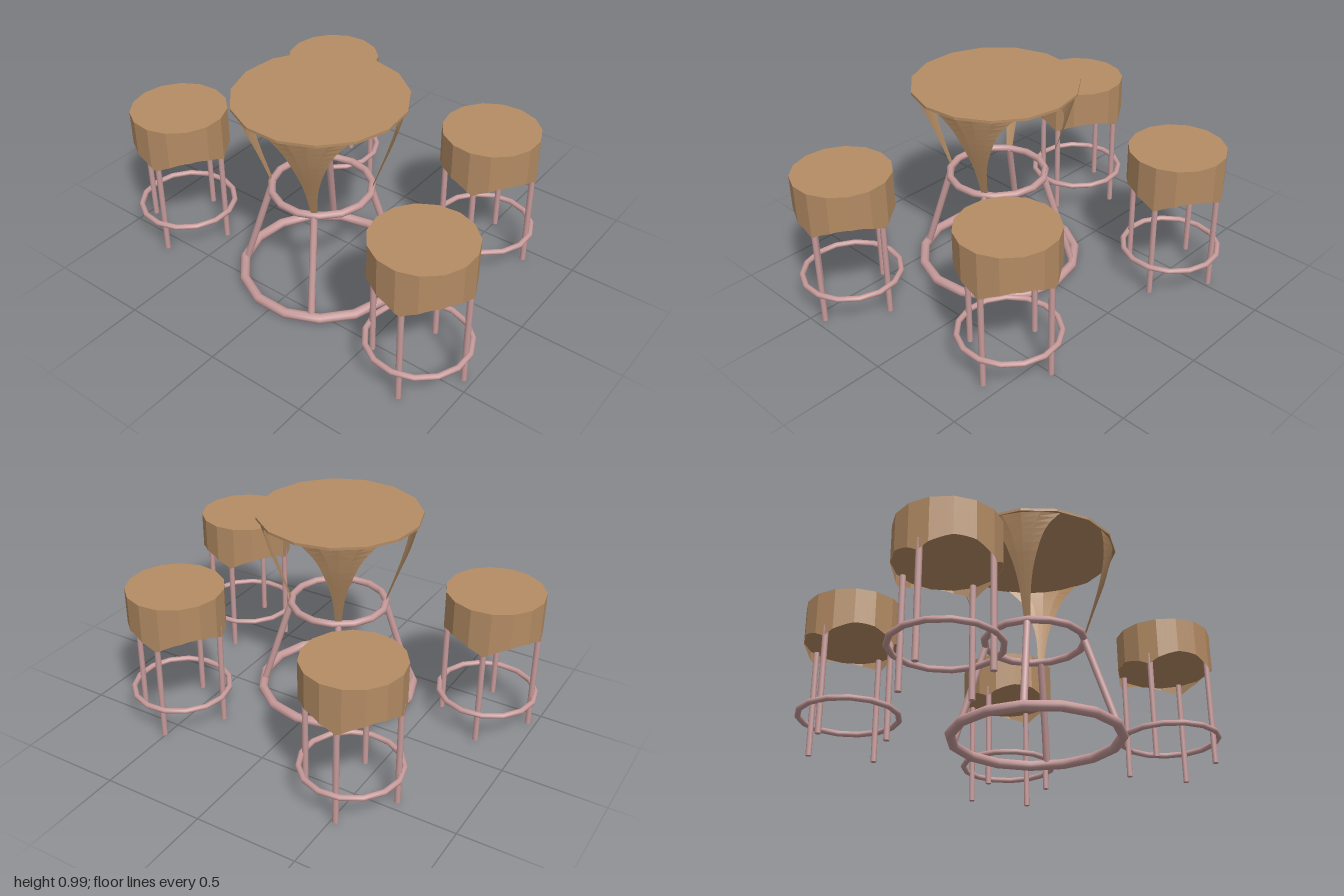
import * as THREE from 'three';

const SIDES = 15;
const wood = new THREE.MeshStandardMaterial({ color: 0xb48c64, side: THREE.DoubleSide, flatShading: true });
wood.name = 'tan wood';
const metal = new THREE.MeshStandardMaterial({ color: 0xc69a9a });
metal.name = 'rose metal';

function add(parent, name, geometry, material) {
  const mesh = new THREE.Mesh(geometry, material);
  mesh.name = name;
  parent.add(mesh);
  return mesh;
}

// Horizontal ring with a corner on +x
function ring(parent, name, radius, tube, y) {
  const g = new THREE.TorusGeometry(radius, tube, 10, SIDES).rotateX(Math.PI / 2);
  add(parent, name, g, metal).position.y = y;
}

// Straight rod between two points
function rod(parent, name, a, b, radius) {
  const dir = b.clone().sub(a);
  const mesh = add(parent, name, new THREE.CylinderGeometry(radius, radius, dir.length(), 10), metal);
  mesh.position.copy(a).add(b).multiplyScalar(0.5);
  mesh.quaternion.setFromUnitVectors(new THREE.Vector3(0, 1, 0), dir.normalize());
}

const polar = (az, r, y) => new THREE.Vector3(Math.sin(az) * r, y, Math.cos(az) * r);

// Seat wall: a 15-sided drum whose lower edge rises in an arch between each pair of legs
function skirtGeometry(radius, top, low, rise) {
  const g = new THREE.CylinderGeometry(1, 1, 1, SIDES * 4, 1, true);
  const p = g.attributes.position, step = (Math.PI * 2) / SIDES;
  for (let i = 0; i < p.count; i++) {
    const a = Math.atan2(p.getZ(i), p.getX(i));
    const inSide = (((a + 1e-6) % step) + step) % step - step / 2;
    const r = radius * Math.cos(step / 2) / Math.cos(inSide);
    const y = p.getY(i) > 0 ? top : low + rise * Math.pow(Math.abs(Math.sin(2 * a)), 0.9);
    p.setXYZ(i, Math.cos(a) * r, y, Math.sin(a) * r);
  }
  g.computeVertexNormals();
  return g;
}

function createStool(x, z) {
  const stool = new THREE.Group();
  stool.name = 'stool';
  const R = 0.235, top = 0.71;
  add(stool, 'seatSkirt', skirtGeometry(R, top, 0.478, 0.057), wood);
  add(stool, 'seatTop', new THREE.CircleGeometry(R, SIDES).rotateX(-Math.PI / 2), wood).position.y = top;
  add(stool, 'seatUnderside', new THREE.CircleGeometry(R - 0.001, SIDES).rotateX(Math.PI / 2), wood).position.y = 0.534;
  ring(stool, 'footRing', 0.236, 0.014, 0.16);
  for (let i = 0; i < 4; i++) {
    const az = i * Math.PI / 2;
    rod(stool, 'stoolLeg', polar(az, 0.217, 0.005), polar(az, 0.217, 0.535), 0.014);
  }
  stool.position.set(x, 0, z);
  stool.rotation.y = THREE.MathUtils.degToRad(12);
  return stool;
}

// Flared bracket: a curved leaf that widens towards the table top
function bracketGeometry() {
  const profile = new THREE.CatmullRomCurve3([ // radius, height, half angle in degrees
    [0.232, 0.5, 3.5], [0.285, 0.65, 5.5], [0.338, 0.8, 11], [0.368, 0.9, 17], [0.39, 0.978, 27],
  ].map((v) => new THREE.Vector3(...v)));
  const g = new THREE.PlaneGeometry(2, 1, 4, 12);
  const p = g.attributes.position;
  for (let i = 0; i < p.count; i++) {
    const s = profile.getPoint(p.getY(i) + 0.5);
    const v = polar(p.getX(i) * THREE.MathUtils.degToRad(s.z), s.x, s.y);
    p.setXYZ(i, v.x, v.y, v.z);
  }
  g.computeVertexNormals();
  return g;
}

function createTable() {
  const table = new THREE.Group();
  table.name = 'table';
  const disc = new THREE.CylinderGeometry(0.402, 0.402, 0.013, SIDES).rotateY(Math.PI / 2);
  add(table, 'tableTop', disc, wood).position.y = 0.982;
  ring(table, 'baseRing', 0.391, 0.024, 0.024);
  ring(table, 'upperRing', 0.237, 0.018, 0.502);
  const bracket = bracketGeometry();
  for (let i = 0; i < 4; i++) {
    const az = i * Math.PI / 2;
    rod(table, 'tableLeg', polar(az, 0.38, 0.025), polar(az, 0.232, 0.502), 0.017);
    add(table, 'bracket', bracket, wood).rotation.y = az;
  }
  table.position.set(0.012, 0, 0.222);
  table.rotation.y = THREE.MathUtils.degToRad(210);
  return table;
}

export function createModel() {
  const model = new THREE.Group();
  model.name = 'tableWithStools';
  model.add(createTable());
  for (const [x, z] of [[-0.478, -0.495], [0.55, -0.382], [-0.752, 0.366], [0.747, 0.483]]) {
    model.add(createStool(x, z));
  }
  return model;
}
